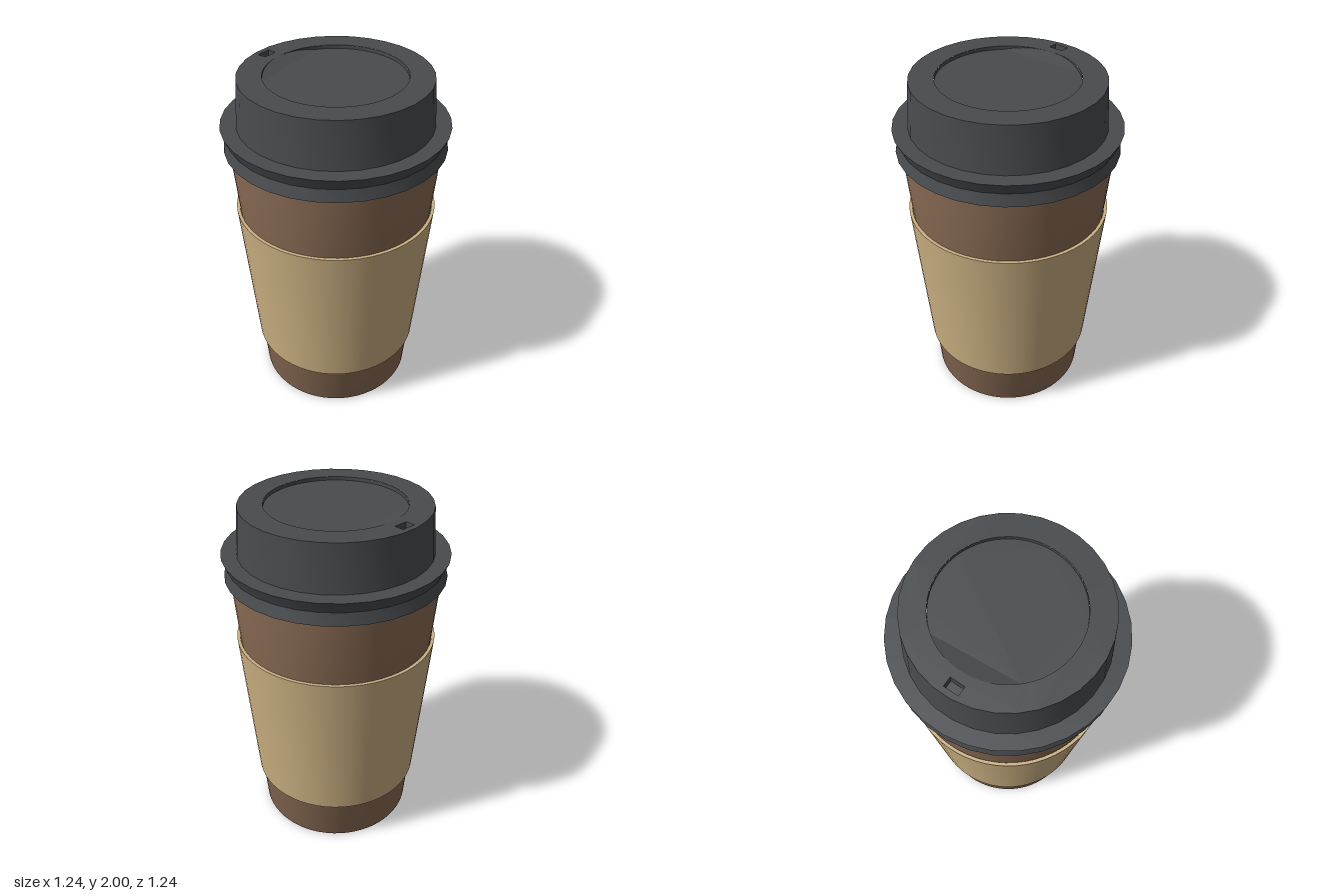
import * as THREE from 'three';
import { toCreasedNormals } from 'three/addons/utils/BufferGeometryUtils.js';

const material = (color, side = THREE.FrontSide) => new THREE.MeshStandardMaterial({ color, side });

function add(group, name, geometry, mat) {
  const mesh = new THREE.Mesh(geometry, mat);
  mesh.name = name;
  group.add(mesh);
  return mesh;
}

// Turned part from [radius, height] pairs, with sharp corners kept
function turned(profile, segments) {
  const points = profile.map(([r, y]) => new THREE.Vector2(r, y));
  return toCreasedNormals(new THREE.LatheGeometry(points, segments), 0.45);
}

// Flat shape laid on the horizontal plane at height y
function flat(shape, y, curveSegments = 64) {
  return new THREE.ShapeGeometry(shape, curveSegments).rotateX(-Math.PI / 2).translate(0, y, 0);
}

export function createModel() {
  const cup = new THREE.Group();
  cup.name = 'takeawayCup';
  const paper = material(0x8b6c55);
  const card = material(0xcbb082);
  const plastic = material(0x484b4e);
  const plasticInside = material(0x484b4e, THREE.BackSide);

  // Cup body with a recessed base
  add(cup, 'cupBody', turned([
    [0.435, 0.06], [0.435, 0.01], [0.44, 0], [0.45, 0], [0.456, 0.012], [0.58, 1.61], [0.583, 1.66],
  ], 64), paper);
  add(cup, 'cupBase', new THREE.CircleGeometry(0.436, 64).rotateX(Math.PI / 2).translate(0, 0.06, 0),
    material(0x665040));

  // Cardboard sleeve
  add(cup, 'sleeve', turned([
    [0.47, 0.275], [0.494, 0.275], [0.57, 1.225], [0.552, 1.225], [0.548, 1.18],
  ], 64), card);

  // Lid
  const lid = new THREE.Group();
  lid.name = 'lid';
  cup.add(lid);
  const sides = 32, topRadius = 0.515, recessRadius = 0.38, depth = 0.02;
  add(lid, 'lidSide', turned([
    [0.575, 1.61], [0.61, 1.61], [0.592, 1.675], [0.62, 1.74], [0.535, 1.74], [topRadius, 2],
  ], sides), plastic);

  // Lid top, pierced by the round recess and the sip hole
  const top = new THREE.Shape(Array.from({ length: sides }, (_, i) => {
    const a = (i / sides) * Math.PI * 2;
    return new THREE.Vector2(topRadius * Math.cos(a), topRadius * Math.sin(a));
  }));
  top.holes.push(new THREE.Path().absarc(0, 0, recessRadius, 0, Math.PI * 2, true));
  const sip = { x: -0.31, z: -0.335, width: 0.082, length: 0.052, depth: 0.05, turn: 0.7 };
  const corners = [[-1, -1], [-1, 1], [1, 1], [1, -1]].map(([u, v]) =>
    new THREE.Vector2(u * sip.width / 2, v * sip.length / 2)
      .rotateAround(new THREE.Vector2(), sip.turn)
      .add(new THREE.Vector2(sip.x, -sip.z)));
  top.holes.push(new THREE.Path(corners));
  add(lid, 'lidTop', flat(top, 2), plastic);

  const well = add(lid, 'sipHole', new THREE.BoxGeometry(sip.width, sip.depth, sip.length), plasticInside);
  well.position.set(sip.x, 2 - sip.depth / 2, sip.z);
  well.rotation.y = sip.turn;

  // Recess wall and floor; the floor stops at a chord near the sip hole
  add(lid, 'recessWall', new THREE.CylinderGeometry(recessRadius, recessRadius, depth, 64, 1, true)
    .translate(0, 2 - depth / 2, 0), plasticInside);
  const middle = 2.34, half = 0.71;
  const floor = new THREE.Shape().absarc(0, 0, recessRadius, middle + half, middle - half + Math.PI * 2, false);
  add(lid, 'recessFloor', flat(floor, 2 - depth), plastic);

  // Small ramp rising from the chord to the rim
  const segment = new THREE.Shape().absarc(0, 0, recessRadius, middle - half, middle + half, false);
  const ramp = flat(segment, 2 - depth, 24);
  const p = ramp.attributes.position;
  const chord = recessRadius * Math.cos(half);
  for (let i = 0; i < p.count; i++) {
    const along = p.getX(i) * Math.cos(middle) - p.getZ(i) * Math.sin(middle);
    p.setY(i, 2 - depth + depth * Math.max(0, (along - chord) / (recessRadius - chord)));
  }
  ramp.computeVertexNormals();
  add(lid, 'recessRamp', ramp, plastic);

  return cup;
}
